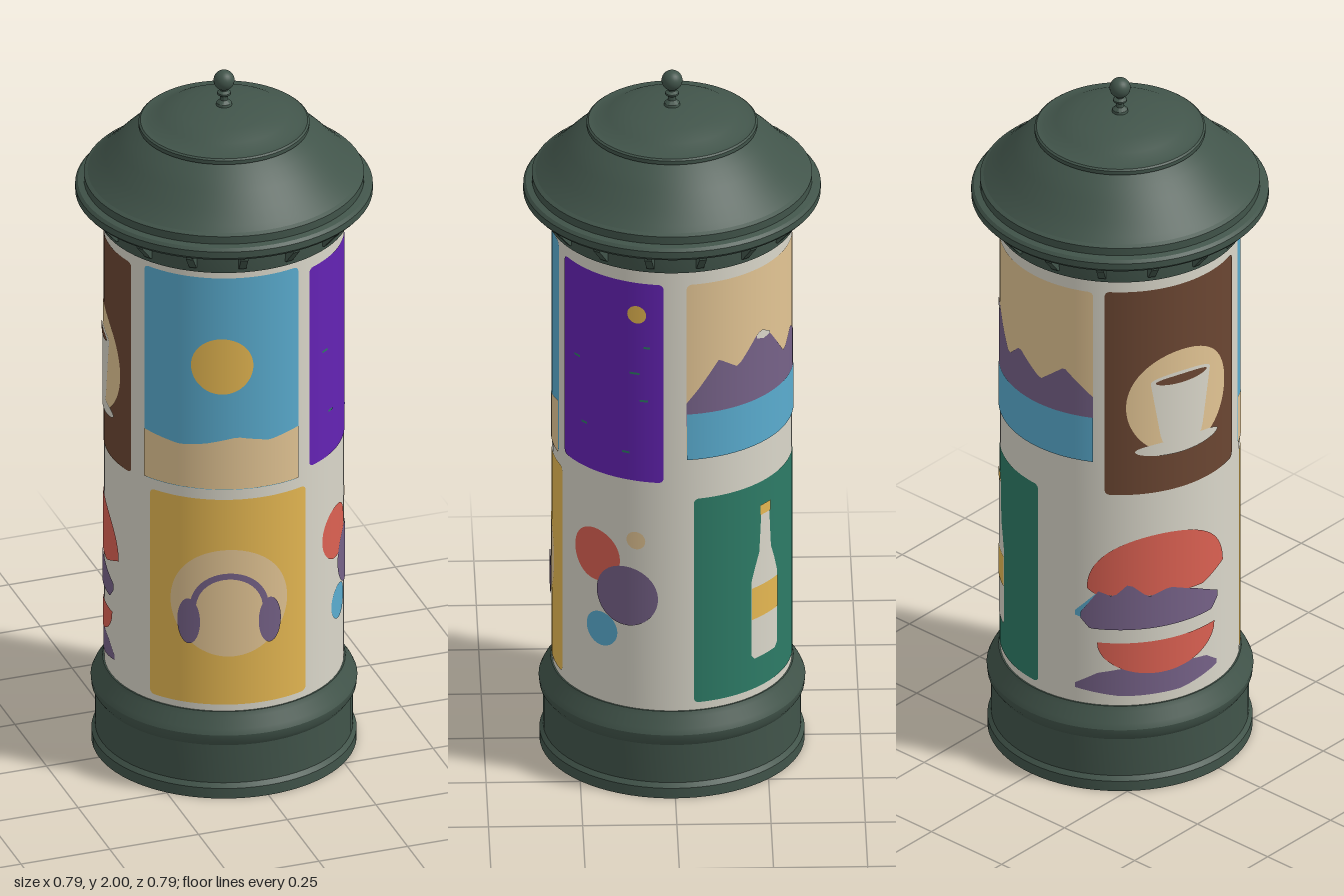
import * as THREE from 'three';
import { toCreasedNormals } from 'three/addons/utils/BufferGeometryUtils.js';

const R = 0.318, DEG = Math.PI / 180;
const paint = (name, color) => Object.assign(new THREE.MeshStandardMaterial({ color }), { name });
const C = {
  iron: paint('dark iron green', 0x41544a), paper: paint('paper white', 0xdad7ca),
  sky: paint('sky blue', 0x5aaccf), sand: paint('sand', 0xe3c594),
  gold: paint('gold', 0xe6b852), violet: paint('violet', 0x6423b4),
  red: paint('coral red', 0xdc6152), plum: paint('plum', 0x766288),
  bottleGreen: paint('poster green', 0x2d7b66), brown: paint('coffee brown', 0x6b4632),
};

function add(group, name, geometry, material) {
  const m = new THREE.Mesh(geometry, material);
  m.name = name;
  group.add(m);
  return m;
}

function turned(group, name, profile, material) {
  const geo = new THREE.LatheGeometry(profile.map(([r, y]) => new THREE.Vector2(r, y)), 72);
  return add(group, name, toCreasedNormals(geo, 0.5), material);
}

// Curved paper patch: angles in degrees round the column, lo/hi give its edges for t in 0..1
function patch(group, name, material, layer, a0, a1, lo, hi, n = 40) {
  const pos = [], nor = [], idx = [], r = R + 0.0016 * layer;
  for (let i = 0; i <= n; i++) {
    const t = (1 - Math.cos(Math.PI * i / n)) / 2, a = (a0 + (a1 - a0) * t) * DEG;
    const s = Math.sin(a), c = Math.cos(a);
    pos.push(r * s, lo(t), r * c, r * s, hi(t), r * c);
    nor.push(s, 0, c, s, 0, c);
    const k = 2 * i;
    if (i < n) idx.push(k, k + 2, k + 1, k + 1, k + 2, k + 3);
  }
  const geo = new THREE.BufferGeometry();
  geo.setAttribute('position', new THREE.Float32BufferAttribute(pos, 3));
  geo.setAttribute('normal', new THREE.Float32BufferAttribute(nor, 3));
  geo.setIndex(idx);
  return add(group, name, geo, material);
}

const flat = y => () => y;
const arc = t => Math.sqrt(Math.max(0, 1 - (2 * t - 1) ** 2));
// Piecewise linear edge through [t, y] points
const line = pts => t => {
  let i = 1;
  while (i < pts.length - 1 && t > pts[i][0]) i++;
  const [t0, y0] = pts[i - 1], [t1, y1] = pts[i];
  return y0 + (y1 - y0) * Math.min(1, (t - t0) / (t1 - t0));
};

function disc(group, name, material, layer, a, y, rx, ry = rx) {
  const h = rx / R / DEG;
  return patch(group, name, material, layer, a - h, a + h, t => y - ry * arc(t), t => y + ry * arc(t));
}

// Sheet with small rounded corners
function sheet(group, name, material, a0, a1, y0, y1) {
  const w = (a1 - a0) * DEG * R, c = 0.014;
  const cut = t => {
    const d = Math.min(t, 1 - t) * w;
    return d >= c ? 0 : c - Math.sqrt(c * c - (c - d) ** 2);
  };
  patch(group, name, material, 1, a0, a1, t => y0 + cut(t), t => y1 - cut(t), 60);
}

function poster(parent, name) {
  const g = new THREE.Group();
  g.name = name;
  parent.add(g);
  return g;
}

export function createModel() {
  const model = new THREE.Group();
  model.name = 'advertisingColumn';

  // Base, drum and roof
  turned(model, 'base', [[0, 0], [0.352, 0], [0.352, 0.03], [0.342, 0.042], [0.342, 0.155],
    [0.352, 0.17], [0.354, 0.19], [0.347, 0.205], [0.328, 0.232], [0.322, 0.245], [0.3, 0.245]], C.iron);
  turned(model, 'drum', [[R, 0.23], [R, 1.59]], C.paper);
  turned(model, 'cornice', [[0.3, 1.568], [0.332, 1.568], [0.335, 1.605], [0.335, 1.637], [0.388, 1.637],
    [0.395, 1.645], [0.395, 1.664], [0.388, 1.672], [0.372, 1.676], [0.372, 1.698], [0.362, 1.704]], C.iron);
  turned(model, 'roof', [[0.366, 1.70], [0.345, 1.717], [0.315, 1.746], [0.28, 1.783], [0.25, 1.811],
    [0.218, 1.834], [0.227, 1.838], [0.227, 1.849], [0.222, 1.853], [0.204, 1.853], [0.17, 1.871],
    [0.12, 1.887], [0.06, 1.897], [0, 1.9]], C.iron);
  turned(model, 'finialStem', [[0.022, 1.895], [0.02, 1.906], [0.011, 1.915], [0.011, 1.926], [0.018, 1.931],
    [0.018, 1.936], [0.01, 1.942], [0.01, 1.955]], C.iron);
  add(model, 'finialBall', new THREE.SphereGeometry(0.028, 24, 16), C.iron).position.y = 1.972;

  // Brackets under the eaves
  const side = new THREE.Shape([[0.325, 1.582], [0.338, 1.582], [0.375, 1.625], [0.375, 1.64], [0.325, 1.64]]
    .map(([x, y]) => new THREE.Vector2(x, y)));
  const bracket = new THREE.ExtrudeGeometry(side, { depth: 0.02, bevelEnabled: false }).translate(0, 0, -0.01);
  for (let i = 0; i < 16; i++) add(model, 'bracket', bracket, C.iron).rotation.y = (i + 0.5) * Math.PI / 8;

  // Beach poster
  let p = poster(model, 'beachPoster');
  sheet(p, 'sky', C.sky, -61, 18.5, 0.91, 1.545);
  patch(p, 'beach', C.sand, 2, -61, 18.5, flat(0.912),
    line([[0, 1.055], [0.25, 1.038], [0.4, 1.047], [0.6, 1.068], [0.8, 1.05], [1, 1.068]]));
  disc(p, 'sun', C.gold, 2, -20.5, 1.28, 0.083);

  // Night poster
  p = poster(model, 'nightPoster');
  sheet(p, 'night', C.violet, 25.5, 84.5, 0.93, 1.525);
  disc(p, 'moon', C.gold, 2, 71.5, 1.43, 0.026);
  for (const [a, y, w] of [[75, 1.33, 3], [35, 1.25, 4], [68, 1.25, 5], [73, 1.17, 4], [40, 1.06, 4], [64, 1.01, 4]])
    patch(p, 'glint', C.bottleGreen, 2, a, a + w, flat(y), flat(y + 0.006), 4);

  // Mountain lake poster
  p = poster(model, 'mountainPoster');
  sheet(p, 'dusk', C.sand, 95.5, 209, 1.0, 1.525);
  const ridge = [[0, 1.17], [0.05, 1.21], [0.14, 1.29], [0.23, 1.255], [0.34, 1.335], [0.4, 1.325],
    [0.53, 1.225], [0.62, 1.275], [0.75, 1.215], [0.87, 1.275], [1, 1.2]];
  patch(p, 'mountains', C.plum, 2, 95.5, 209, flat(1.1), line(ridge), 70);
  patch(p, 'snow', C.paper, 3, 133, 142, line([[0, 1.318], [0.5, 1.31], [1, 1.315]]),
    line([[0, 1.33], [0.4, 1.338], [1, 1.322]]), 12);
  patch(p, 'lake', C.sky, 3, 95.5, 209, flat(1.0), flat(1.137), 60);

  // Coffee poster
  p = poster(model, 'coffeePoster');
  sheet(p, 'coffeeSheet', C.brown, 214.5, 290, 0.9, 1.53);
  disc(p, 'glow', C.sand, 2, 253, 1.17, 0.157);
  disc(p, 'saucer', C.paper, 3, 252, 1.033, 0.128, 0.022);
  patch(p, 'cup', C.paper, 3, 236.5, 269.5, line([[0, 1.24], [0.16, 1.06], [0.3, 1.03], [0.7, 1.03], [0.84, 1.06], [1, 1.24]]),
    t => 1.24 + 0.022 * arc(t));
  disc(p, 'coffee', C.brown, 4, 253, 1.24, 0.078, 0.013);

  // Headphones poster
  p = poster(model, 'headphonesPoster');
  sheet(p, 'musicSheet', C.gold, -57.5, 23, 0.265, 0.88);
  disc(p, 'spot', C.sand, 2, -17, 0.57, 0.16);
  const half = 0.106 / R / DEG;
  patch(p, 'headband', C.plum, 3, -17 - half, -17 + half,
    t => 0.55 + 0.092 * Math.sqrt(Math.max(0, 1 - ((2 * t - 1) / 0.84) ** 2)), t => 0.55 + 0.11 * arc(t));
  for (const s of [-1, 1]) disc(p, 'earCup', C.plum, 4, -17 + s * 19.5, 0.512, 0.031, 0.067);

  // Circles poster, on bare paper
  p = poster(model, 'circlesPoster');
  disc(p, 'redCircle', C.red, 1, 49, 0.68, 0.077);
  disc(p, 'plumCircle', C.plum, 2, 66, 0.58, 0.088);
  disc(p, 'blueCircle', C.sky, 1, 52.5, 0.462, 0.05);
  disc(p, 'sandCircle', C.sand, 1, 71, 0.75, 0.026);

  // Bottle poster
  p = poster(model, 'bottlePoster');
  sheet(p, 'drinkSheet', C.bottleGreen, 99, 179, 0.268, 0.88);
  patch(p, 'bottle', C.paper, 2, 129.5, 148.5, line([[0, 0.37], [0.1, 0.358], [0.9, 0.358], [1, 0.37]]),
    line([[0, 0.59], [0.12, 0.63], [0.3, 0.68], [0.32, 0.79], [0.68, 0.79], [0.7, 0.68], [0.88, 0.63], [1, 0.59]]));
  patch(p, 'bottleCap', C.gold, 3, 135.3, 142.7, flat(0.782), flat(0.812), 8);
  patch(p, 'bottleLabel', C.gold, 3, 129.5, 148.5, flat(0.478), flat(0.572), 12);

  // Burger poster, on bare paper
  p = poster(model, 'burgerPoster');
  patch(p, 'lettuce', C.sky, 1, 200, 212, line([[0, 0.515], [1, 0.5]]), line([[0, 0.53], [1, 0.6]]), 8);
  patch(p, 'patty', C.plum, 3, 203, 275, line([[0, 0.51], [0.06, 0.482], [0.94, 0.482], [1, 0.51]]),
    line([[0, 0.53], [0.12, 0.6], [0.22, 0.585], [0.32, 0.625], [0.45, 0.58], [0.6, 0.6], [0.8, 0.57], [1, 0.53]]));
  patch(p, 'topBun', C.red, 2, 206, 280, line([[0, 0.605], [0.05, 0.59], [0.8, 0.575], [1, 0.61]]), t => 0.61 + 0.16 * arc(t));
  patch(p, 'plate', C.plum, 1, 200, 275,
    line([[0, 0.29], [0.3, 0.275], [0.7, 0.275], [1, 0.3]]),
    line([[0, 0.305], [0.15, 0.345], [0.3, 0.36], [0.7, 0.36], [0.9, 0.345], [1, 0.315]]));
  patch(p, 'bottomBun', C.red, 2, 211, 273, t => 0.435 - 0.095 * arc(t), flat(0.44));

  return model;
}
